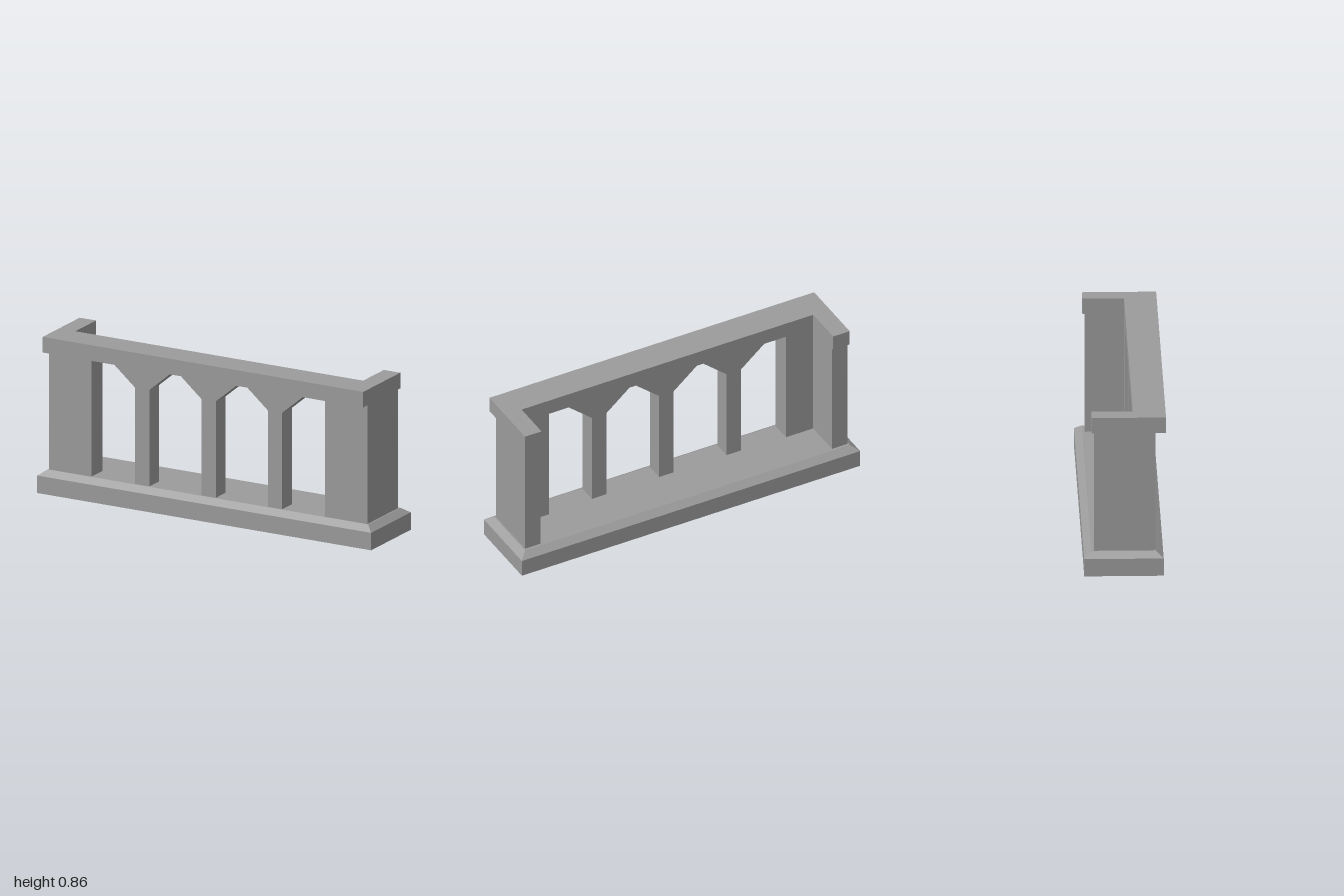
import * as THREE from 'three';

const material = new THREE.MeshStandardMaterial({ color: 0x9b9b9b, flatShading: true });

function add(group, name, geometry) {
  const mesh = new THREE.Mesh(geometry, material);
  mesh.name = name;
  group.add(mesh);
  return mesh;
}

function outline(points) {
  return new THREE.Shape(points.map(([x, y]) => new THREE.Vector2(x, y)));
}

// Plan drawn as [x, z], raised from y0 to y1
function raisePlan(points, y0, y1) {
  const shape = outline(points.map(([x, z]) => [x, -z]));
  const geometry = new THREE.ExtrudeGeometry(shape, { depth: y1 - y0, bevelEnabled: false });
  return geometry.rotateX(-Math.PI / 2).translate(0, y0, 0);
}

// Box between two corners
function boxBetween([x0, y0, z0], [x1, y1, z1]) {
  return new THREE.BoxGeometry(x1 - x0, y1 - y0, z1 - z0)
    .translate((x0 + x1) / 2, (y0 + y1) / 2, (z0 + z1) / 2);
}

export function createModel() {
  const group = new THREE.Group();
  group.name = 'balcony';
  const floorY = 0.124, railY = 0.774, topY = 0.859;

  // Base slab with a sloped upper edge
  add(group, 'baseSlab', boxBetween([-1, 0, -0.213], [1, 0.095, 0.2]));
  const slope = boxBetween([-1, 0.095, -0.213], [1, floorY, 0.2]);
  const p = slope.attributes.position;
  for (let i = 0; i < p.count; i++) {
    if (p.getY(i) > 0.11) {
      p.setX(i, Math.sign(p.getX(i)) * 0.96);
      p.setZ(i, p.getZ(i) > 0 ? 0.16 : -0.174);
    }
  }
  slope.computeVertexNormals();
  add(group, 'baseSlope', slope);

  // L-shaped corner posts that run back as side walls
  for (const side of [1, -1]) {
    const plan = [[0.7, 0.157], [0.953, 0.157], [0.953, -0.16], [0.862, -0.16], [0.862, 0.043], [0.7, 0.043]]
      .map(([x, z]) => [x * side, z]);
    add(group, side > 0 ? 'leftCornerPost' : 'rightCornerPost', raisePlan(plan, floorY, railY));
  }

  // Balusters with flared heads
  for (const x of [-0.398, 0, 0.398]) {
    const half = [[0.043, floorY], [0.043, 0.648], [0.191, railY]];
    const mirrored = half.map(([px, py]) => [-px, py]).reverse();
    const geometry = new THREE.ExtrudeGeometry(outline([...half, ...mirrored]), { depth: 0.1, bevelEnabled: false });
    add(group, 'baluster', geometry).position.set(x, 0, 0.054);
  }

  // U-shaped handrail, open at the back
  add(group, 'handrail', raisePlan([
    [-0.96, 0.213], [0.96, 0.213], [0.96, -0.173], [0.862, -0.173],
    [0.862, 0.043], [-0.862, 0.043], [-0.862, -0.173], [-0.96, -0.173],
  ], railY, topY));

  return group;
}
